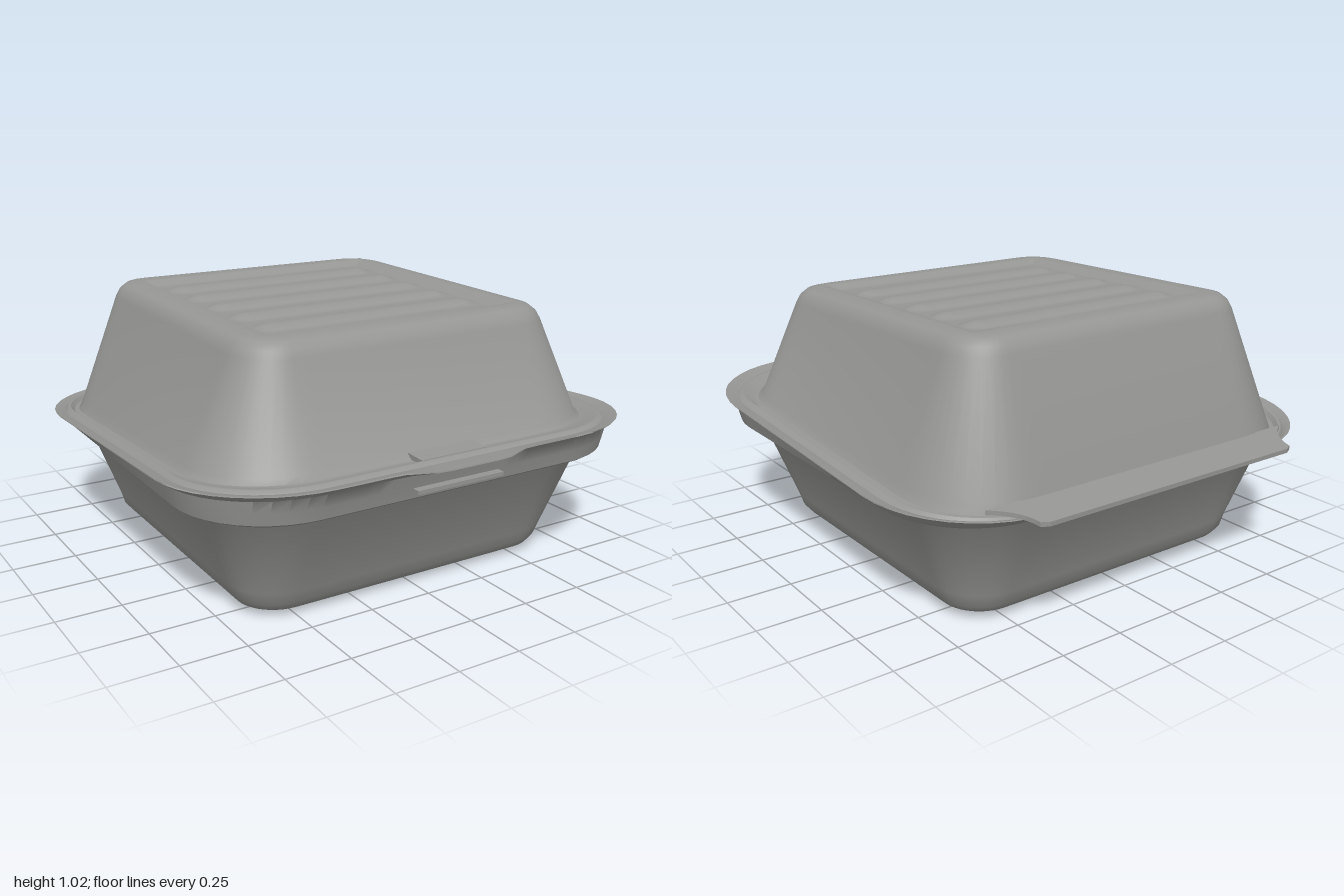
import * as THREE from 'three';
import { toCreasedNormals } from 'three/addons/utils/BufferGeometryUtils.js';

const smooth = THREE.MathUtils.smoothstep;
const CORNER = 10, STRAIGHT = 20;

// One rounded-rectangle loop: half width, front z, back z, corner radius, height, slope along z, front lip bulge
function ring([hx, zf, zb, r, y, tilt = 0, tab = 0]) {
  const pts = [];
  const centres = [[hx - r, zf - r], [r - hx, zf - r], [r - hx, zb + r], [hx - r, zb + r]];
  centres.forEach(([cx, cz], k) => {
    for (let i = 0; i <= CORNER; i++) {
      const a = (k + i / CORNER) * Math.PI / 2;
      pts.push([cx + r * Math.cos(a), cz + r * Math.sin(a)]);
    }
    const [nx, nz] = centres[(k + 1) % 4];
    const a = (k + 1) * Math.PI / 2, c = r * Math.cos(a), s = r * Math.sin(a);
    for (let i = 1; i < STRAIGHT; i++) {
      const t = i / STRAIGHT;
      pts.push([cx + (nx - cx) * t + c, cz + (nz - cz) * t + s]);
    }
  });
  return pts.map(([x, z]) => {
    const bulge = z > 0.7 ? tab * (1 - smooth(Math.abs(x), 0.12, 0.28)) : 0;
    return [x * (1 + 0.014 * z), y + tilt * z, z + bulge];
  });
}

// Skin a stack of loops, listed from bottom to top
function loft(profile, crease = 0.7) {
  const rings = profile.map(ring), n = rings[0].length, index = [];
  for (let i = 0; i < rings.length - 1; i++) {
    for (let j = 0; j < n; j++) {
      const a = i * n + j, b = i * n + (j + 1) % n;
      index.push(a, a + n, b, b, a + n, b + n);
    }
  }
  const geo = new THREE.BufferGeometry();
  geo.setAttribute('position', new THREE.Float32BufferAttribute(rings.flat(2), 3));
  geo.setIndex(index);
  return toCreasedNormals(geo, crease);
}

const lidTop = (x, z) => 1.003 - 0.022 * z + 0.004 * x;

// Sunken panel with five rounded ribs
function panelGeometry() {
  const geo = new THREE.PlaneGeometry(1.12, 1.12, 70, 110).rotateX(-Math.PI / 2);
  const p = geo.attributes.position;
  for (let i = 0; i < p.count; i++) {
    const x = p.getX(i), z = p.getZ(i);
    const edge = Math.max(Math.abs(x), Math.abs(z));
    let h = -0.022 * (1 - smooth(edge, 0.495, 0.545));
    for (let k = 0; k < 5; k++) {
      const dz = (z + 0.385 - k * 0.185) / 0.065;
      const dx = Math.max(0, Math.abs(x) - 0.42) / 0.065;
      h += 0.017 * Math.max(0, 1 - dx * dx - dz * dz);
    }
    p.setXYZ(i, x, lidTop(x, z - 0.02) + h, z - 0.02);
  }
  geo.computeVertexNormals();
  return geo;
}

export function createModel() {
  const group = new THREE.Group();
  const pulp = new THREE.MeshStandardMaterial({ color: 0x969694, side: THREE.DoubleSide });
  pulp.name = 'grey pulp';
  const add = (name, geo) => {
    const mesh = new THREE.Mesh(geo, pulp);
    mesh.name = name;
    group.add(mesh);
    return mesh;
  };

  // Lower tray: base, sloped wall, stacking ledge and flared rim
  add('tray', loft([
    [0.001, 0.001, -0.001, 0.0005, 0.005],
    [0.55, 0.56, -0.58, 0.10, 0.005],
    [0.58, 0.59, -0.61, 0.12, 0.0],
    [0.61, 0.61, -0.63, 0.13, 0.017],
    [0.65, 0.64, -0.665, 0.15, 0.03],
    [0.675, 0.66, -0.69, 0.165, 0.06],
    [0.69, 0.68, -0.705, 0.18, 0.11],
    [0.81, 0.80, -0.825, 0.29, 0.425],
    [0.825, 0.815, -0.84, 0.30, 0.443],
    [0.875, 0.865, -0.865, 0.34, 0.445],
    [0.895, 0.88, -0.88, 0.36, 0.455],
    [0.905, 0.89, -0.89, 0.37, 0.482, 0.02],
    [0.915, 0.905, -0.90, 0.39, 0.508, 0.045],
    [0.95, 0.945, -0.925, 0.44, 0.528, 0.05, 0.05],
  ]));

  // Lid: flange with a raised bead, sloped wall and rounded shoulder
  add('lid', loft([
    [0.953, 0.95, -0.93, 0.44, 0.535, 0.05, 0.05],
    [0.935, 0.93, -0.915, 0.42, 0.531, 0.05, 0.03],
    [0.905, 0.895, -0.905, 0.39, 0.522, 0.05],
    [0.89, 0.88, -0.90, 0.375, 0.533, 0.05],
    [0.875, 0.865, -0.89, 0.36, 0.533, 0.05],
    [0.86, 0.83, -0.875, 0.345, 0.519, 0.05],
    [0.84, 0.80, -0.86, 0.33, 0.52, 0.05],
    [0.82, 0.78, -0.85, 0.31, 0.545, 0.04],
    [0.66, 0.64, -0.69, 0.16, 0.945, -0.02],
    [0.645, 0.625, -0.675, 0.15, 0.975, -0.022],
    [0.62, 0.60, -0.65, 0.13, 0.996, -0.022],
    [0.585, 0.565, -0.61, 0.10, 1.004, -0.022],
    [0.54, 0.52, -0.56, 0.03, 1.004, -0.022],
  ]));
  add('lidPanel', panelGeometry());

  // Folded hinge flap along the back
  const flap = new THREE.Shape();
  flap.moveTo(-0.70, 0.84);
  flap.quadraticCurveTo(-0.60, 0.90, -0.59, 0.985);
  flap.lineTo(-0.56, 1.0);
  flap.lineTo(0.56, 0.998);
  flap.lineTo(0.59, 0.985);
  flap.quadraticCurveTo(0.60, 0.90, 0.70, 0.84);
  const flapGeo = new THREE.ExtrudeGeometry(flap, { depth: 0.016, bevelEnabled: false });
  flapGeo.rotateX(-Math.PI / 2);
  const p = flapGeo.attributes.position;
  for (let i = 0; i < p.count; i++) p.setY(i, p.getY(i) + 0.482 + 0.12 * (p.getZ(i) + 0.98));
  flapGeo.computeVertexNormals();
  add('hingeFlap', flapGeo);

  // Front latch: tongue below the rim and its pad behind the flange
  add('latchTongue', new THREE.BoxGeometry(0.37, 0.014, 0.05)).position.set(0, 0.488, 0.895);
  const pad = add('latchPad', new THREE.BoxGeometry(0.28, 0.03, 0.09));
  pad.position.set(0.01, 0.563, 0.815);
  pad.rotation.x = 0.05;

  return group;
}
